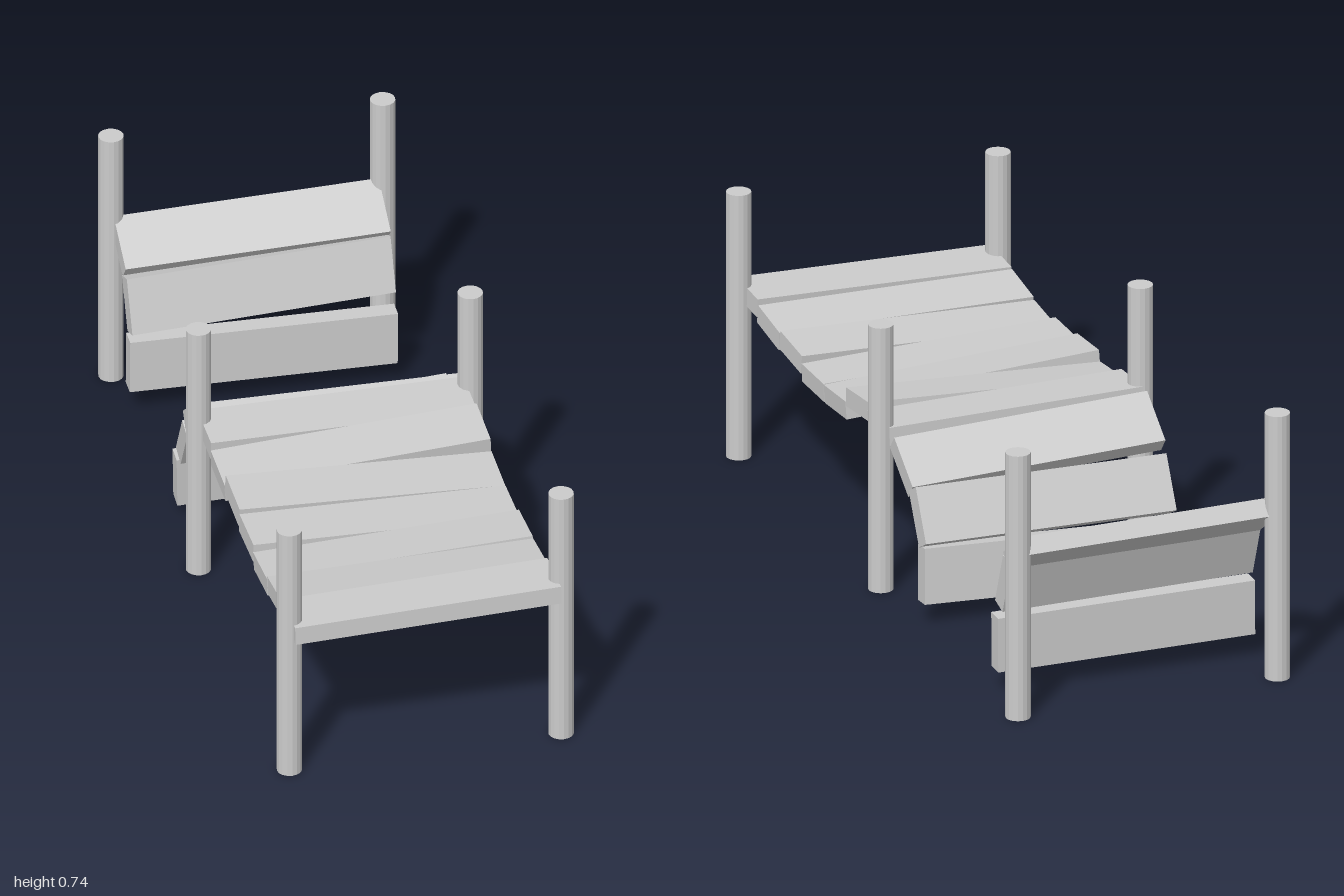
import * as THREE from 'three';

export function createModel() {
  const group = new THREE.Group();
  group.name = 'brokenPlankBridge';
  const wood = new THREE.MeshStandardMaterial({ color: 0xcccccc, flatShading: true });

  // Three pairs of round posts
  const postGeometry = new THREE.CylinderGeometry(0.033, 0.033, 0.735, 16);
  for (const z of [0.95, -0.025, -0.965]) {
    for (const side of [-1, 1]) {
      const post = new THREE.Mesh(postGeometry, wood);
      post.name = side > 0 ? 'leftPost' : 'rightPost';
      post.position.set(side * 0.36, 0.3675, z);
      group.add(post);
    }
  }

  // Planks: [y, z, pitch, roll, yaw]
  const plankGeometry = new THREE.BoxGeometry(0.705, 0.05, 0.15);
  const addPlanks = (name, rows) => rows.forEach(([y, z, pitch, roll, yaw = 0]) => {
    const plank = new THREE.Mesh(plankGeometry, wood);
    plank.name = name;
    plank.position.set(-0.003, y, z);
    plank.rotation.set(pitch, yaw, roll, 'YZX');
    group.add(plank);
  });

  // Sagging intact span
  addPlanks('deckPlank', [
    [0.441, 0.922, -0.04, 0.025],
    [0.418, 0.772, -0.14, 0.01],
    [0.4, 0.62, -0.09, 0.03],
    [0.394, 0.468, 0.0, -0.03],
    [0.405, 0.315, 0.07, -0.05],
    [0.421, 0.165, 0.1, 0.05],
    [0.432, 0.015, 0.05, -0.01],
  ]);

  // Loose end hanging from the middle posts
  addPlanks('middleHangingPlank', [
    [0.388, -0.135, -0.68, -0.028, 0.01],
    [0.27, -0.238, -1.05, 0.03, 0.03],
    [0.12, -0.287, -1.47, 0.036, -0.03],
  ]);

  // Loose end hanging from the back posts
  addPlanks('backHangingPlank', [
    [0.432, -0.91, 0.62, 0.0, 0.015],
    [0.315, -0.822, 1.25, 0.01, 0.035],
    [0.138, -0.79, 1.56, -0.01, -0.03],
  ]);

  return group;
}
